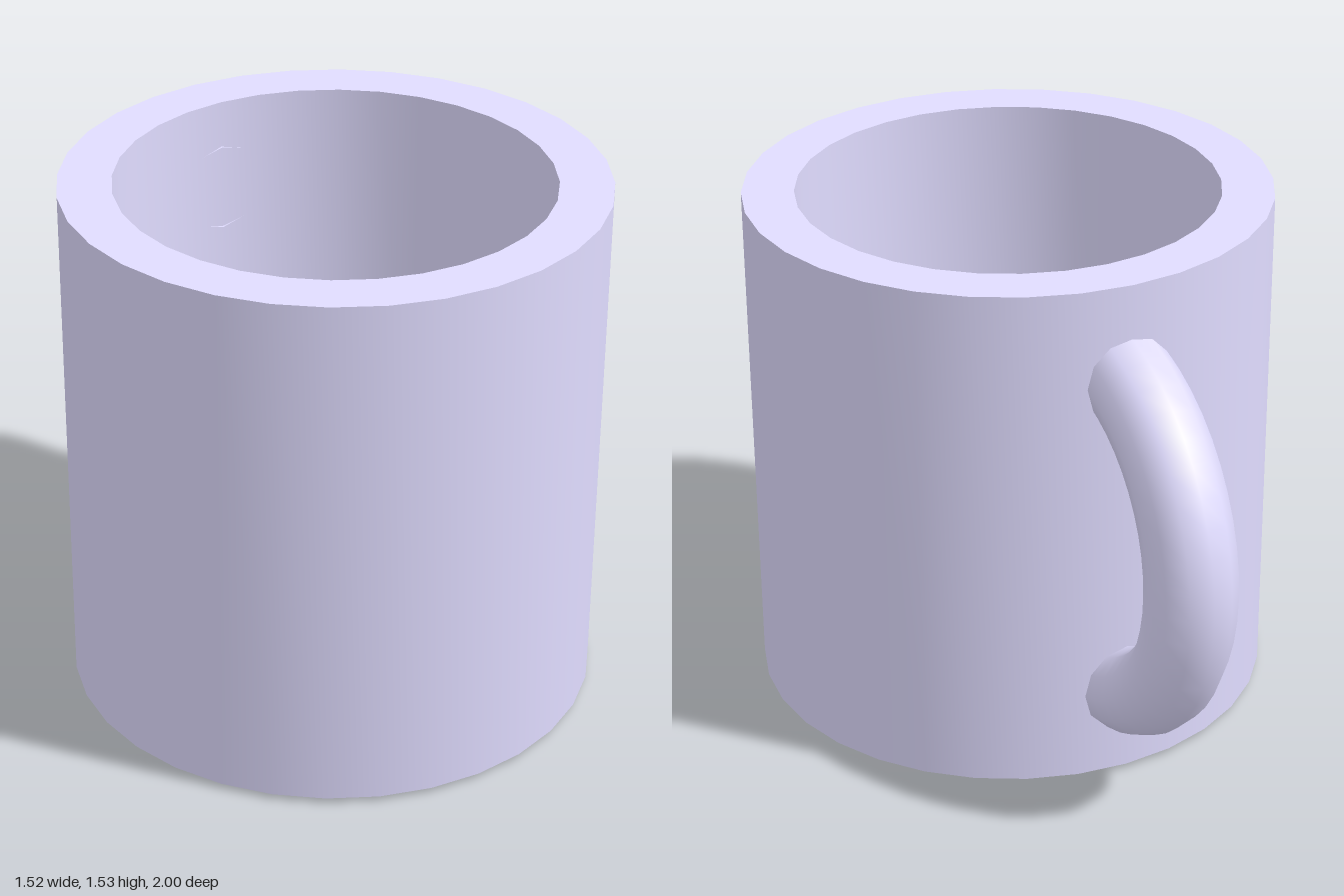
import * as THREE from 'three';
import { toCreasedNormals } from 'three/addons/utils/BufferGeometryUtils.js';

export function createModel() {
  const group = new THREE.Group();
  const glaze = new THREE.MeshStandardMaterial({ color: 0xe0dcff });
  const glazeOpen = new THREE.MeshStandardMaterial({ color: 0xe0dcff, side: THREE.DoubleSide });
  const grey = new THREE.MeshStandardMaterial({ color: 0xcccccc, side: THREE.DoubleSide });

  const add = (name, geometry, material, x, y, z) => {
    const mesh = new THREE.Mesh(geometry, material);
    mesh.name = name;
    mesh.position.set(x, y, z);
    group.add(mesh);
    return mesh;
  };

  // Thick-walled cup: underside, outer wall, rim, inner wall, inner floor
  const bottom = 0.015, top = 1.535, floor = 0.17, outer = 0.76, inner = 0.61;
  const profile = [
    [0, bottom], [outer, bottom], [outer, top],
    [inner, top], [inner, floor], [0, floor],
  ].map(([r, y]) => new THREE.Vector2(r, y));
  const cup = toCreasedNormals(new THREE.LatheGeometry(profile, 32), Math.PI / 6);
  add('cup', cup, glaze, 0, 0, 0.24);

  // Half-ring handle at the back, its ends sunk into the wall
  const ring = new THREE.TorusGeometry(0.508, 0.128, 12, 24, Math.PI);
  ring.rotateZ(-Math.PI / 2).rotateY(Math.PI / 2);
  add('handle', ring, glazeOpen, 0, 0.76, -0.363);

  // Flat rectangular sheets, one under the cup and one on its inner floor
  const sheet = new THREE.PlaneGeometry(0.76, 0.845).rotateX(-Math.PI / 2);
  add('baseSheet', sheet, grey, 0.015, 0, 0.172);
  add('floorSheet', sheet, grey, 0.015, floor + 0.005, 0.172);

  return group;
}
